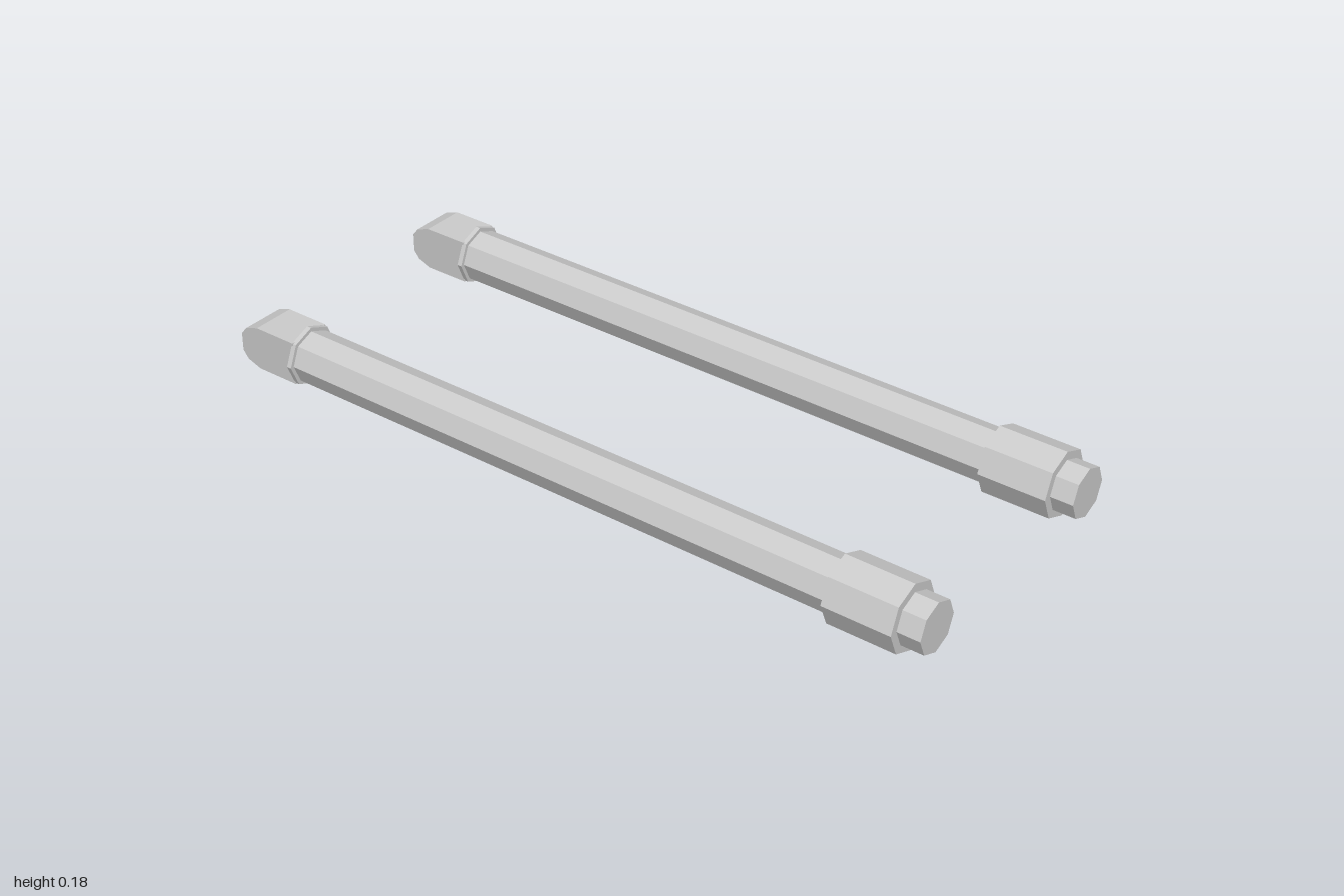
import * as THREE from 'three';

const SIDES = 8;
const AXIS_Y = 0.089;
const ROD_Z = 0.318;

export function createModel() {
  const model = new THREE.Group();
  const material = new THREE.MeshStandardMaterial({ color: 0xcccccc, flatShading: true });

  // Octagonal section running along x from x0 to x1
  function section(name, radius, x0, x1) {
    const geometry = new THREE.CylinderGeometry(radius, radius, x1 - x0, SIDES);
    geometry.rotateZ(-Math.PI / 2);
    geometry.translate((x0 + x1) / 2, 0, 0);
    const mesh = new THREE.Mesh(geometry, material);
    mesh.name = name;
    return mesh;
  }

  // Flat tongue with a rounded outer end, extruded across z
  function tongue() {
    const half = [[-0.824, 0.058], [-0.945, 0.058], [-0.984, 0.044], [-1, 0.024]];
    const outline = [...half, ...half.map(([x, y]) => [x, -y]).reverse()];
    const shape = new THREE.Shape(outline.map(([x, y]) => new THREE.Vector2(x, y)));
    const width = 0.116;
    const geometry = new THREE.ExtrudeGeometry(shape, { depth: width, bevelEnabled: false });
    geometry.translate(0, 0, -width / 2);
    const mesh = new THREE.Mesh(geometry, material);
    mesh.name = 'tongue';
    return mesh;
  }

  // Two identical rods, front and back
  for (const side of [1, -1]) {
    const rod = new THREE.Group();
    rod.name = side > 0 ? 'frontRod' : 'backRod';
    rod.add(
      tongue(),
      section('flange', 0.079, -0.828, -0.815),
      section('shaft', 0.069, -0.815, 0.76),
      section('collar', 0.088, 0.76, 0.94),
      section('endCap', 0.066, 0.94, 1)
    );
    rod.position.set(0, AXIS_Y, side * ROD_Z);
    model.add(rod);
  }
  return model;
}
